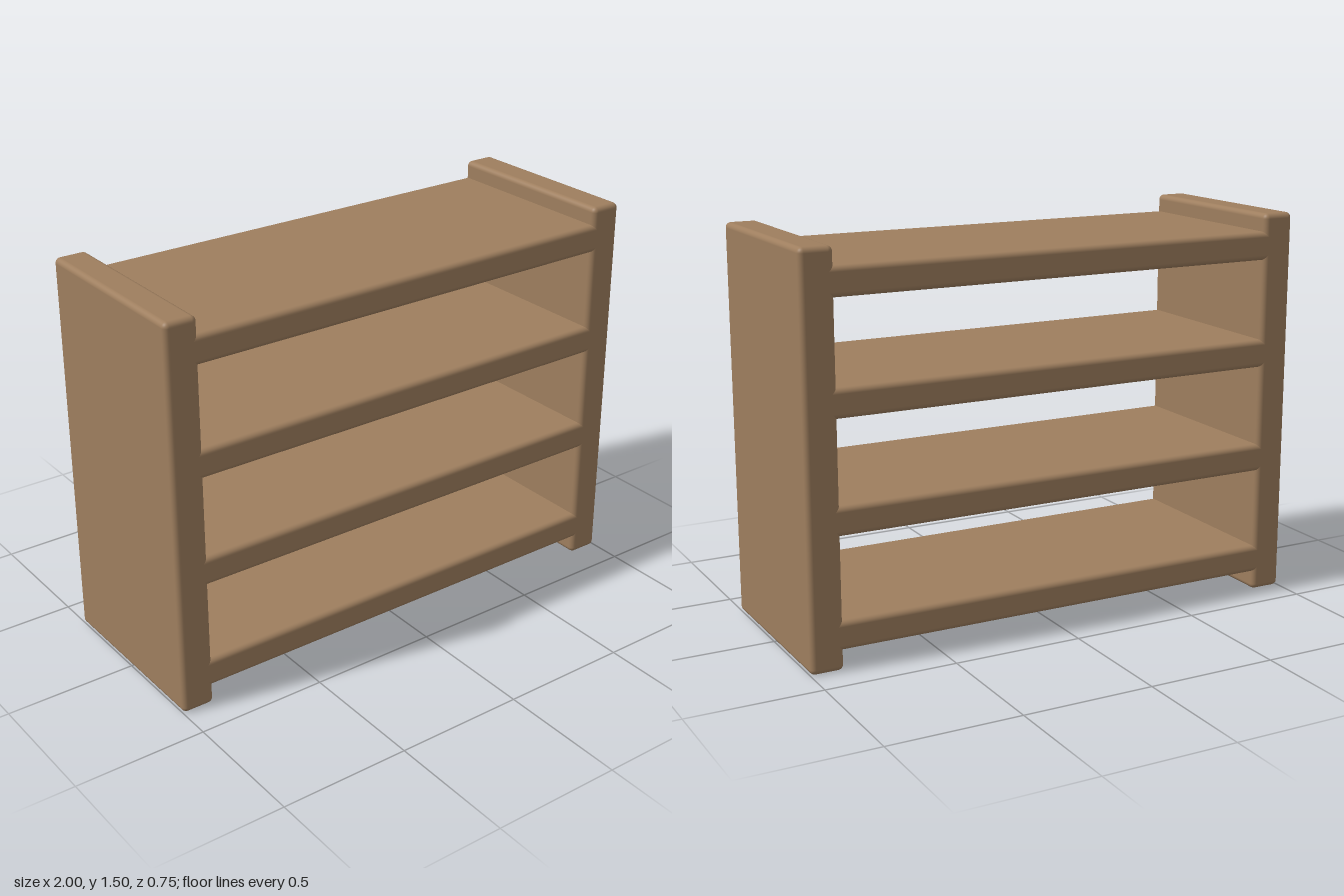
import * as THREE from 'three';
import { RoundedBoxGeometry } from 'three/addons/geometries/RoundedBoxGeometry.js';

export function createModel() {
  const model = new THREE.Group();
  model.name = 'shelfUnit';

  const wood = new THREE.MeshStandardMaterial({ color: 0x9e7e5e });
  wood.name = 'brown wood';

  const height = 1.5, depth = 0.75, panelWidth = 0.125, radius = 0.02;

  function board(name, w, h, x, y) {
    const mesh = new THREE.Mesh(new RoundedBoxGeometry(w, h, depth, 4, radius), wood);
    mesh.name = name;
    mesh.position.set(x, y, 0);
    model.add(mesh);
  }

  // Upright side panels
  for (const [name, side] of [['leftPanel', 1], ['rightPanel', -1]]) {
    board(name, panelWidth, height, side * (1 - panelWidth / 2), height / 2);
  }

  // Four evenly spaced shelves, their ends set into the panels
  for (let i = 0; i < 4; i++) {
    board(`shelf${i + 1}`, 1.84, 0.108, 0, 0.128 + i * 0.4165);
  }

  return model;
}
